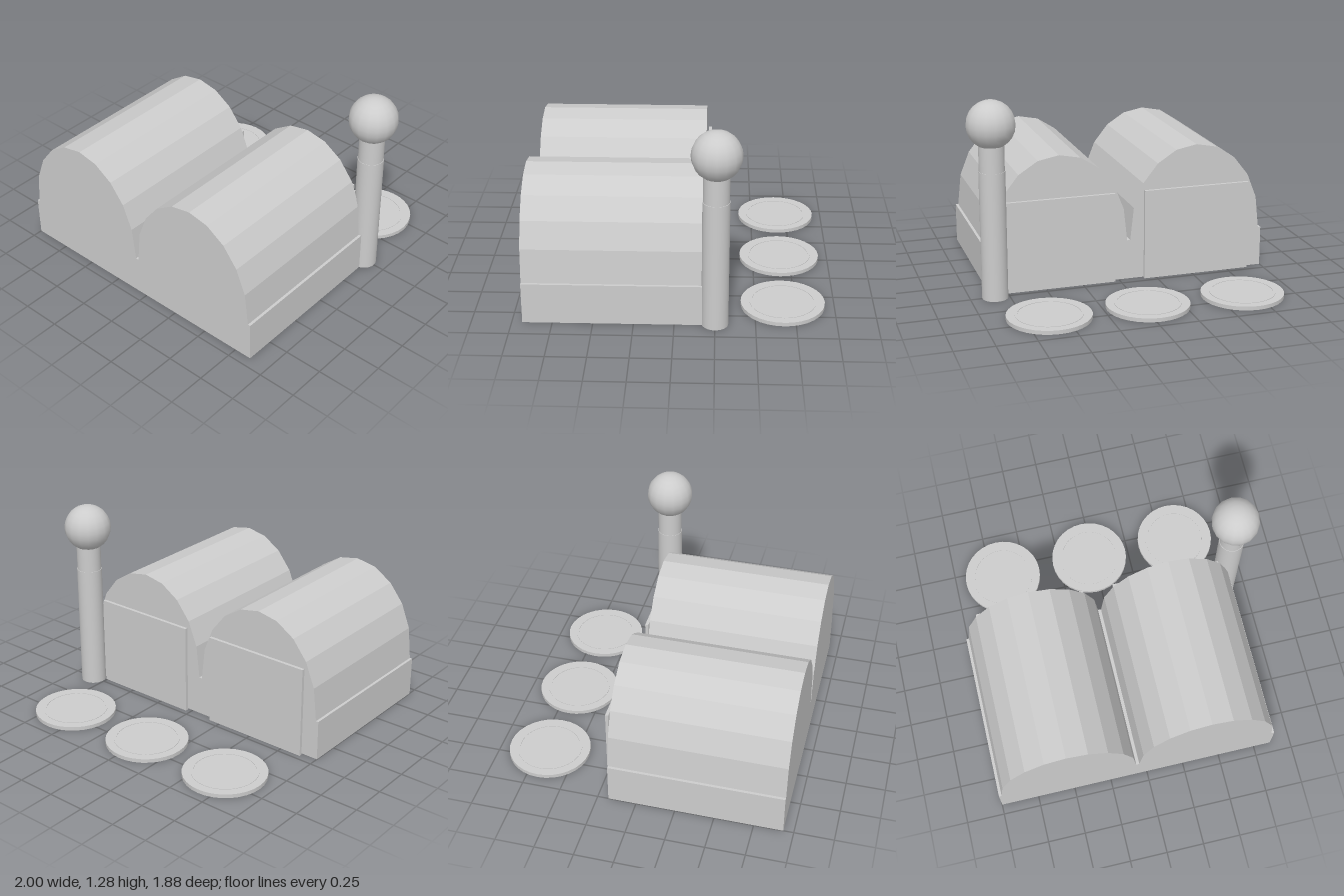
import * as THREE from 'three';

export function createModel() {
  const group = new THREE.Group();
  const grey = new THREE.MeshStandardMaterial({ color: 0xcccccc });
  grey.name = 'plain grey';

  const add = (name, geometry, x, y, z) => {
    const mesh = new THREE.Mesh(geometry, grey);
    mesh.name = name;
    mesh.position.set(x, y, z);
    group.add(mesh);
    return mesh;
  };

  // Shared plinth under both hangars
  const back = -0.18, depth = 1.115;
  add('plinth', new THREE.BoxGeometry(1.865, 0.265, depth), -0.0675, 0.1325, back + depth / 2);

  // Right half of the faceted vault, mirrored to make the whole arch
  const half = [[0.452, 0.265], [0.428, 0.482], [0.364, 0.643], [0.265, 0.768], [0.139, 0.849]];
  const mirrored = half.map(([x, y]) => [-x, y]).reverse();
  const outline = [...half, [0, 0.876], ...mirrored].map(([x, y]) => new THREE.Vector2(x, y));
  const vault = new THREE.ExtrudeGeometry(new THREE.Shape(outline), { depth, bevelEnabled: false });

  for (const x of [-0.53, 0.395]) {
    add('hangarVault', vault, x, 0, back);
    // Door slab standing just clear of the back wall
    add('hangarDoor', new THREE.BoxGeometry(0.725, 0.6, 0.021), x, 0.3, -0.203);
  }

  // Control tower: shaft, slightly slimmer neck and ball
  const tx = 0.842, tz = -0.25;
  add('towerShaft', new THREE.CylinderGeometry(0.083, 0.083, 0.83, 32), tx, 0.415, tz);
  add('towerNeck', new THREE.CylinderGeometry(0.08, 0.08, 0.18, 32), tx, 0.91, tz);
  add('towerBall', new THREE.SphereGeometry(0.154, 16, 12), tx, 1.123, tz);

  // Round landing pads with a thin raised ring
  const ring = new THREE.Shape().absarc(0, 0, 0.21, 0, Math.PI * 2);
  ring.holes.push(new THREE.Path().absarc(0, 0, 0.195, 0, Math.PI * 2, true));
  const ringGeometry = new THREE.ExtrudeGeometry(ring, { depth: 0.003, bevelEnabled: false, curveSegments: 32 });
  ringGeometry.rotateX(-Math.PI / 2);
  for (const x of [-0.665, -0.032, 0.6]) {
    add('landingPad', new THREE.CylinderGeometry(0.265, 0.265, 0.025, 32), x, 0.0125, -0.676);
    add('landingPadRing', ringGeometry, x, 0.025, -0.676);
  }

  return group;
}
